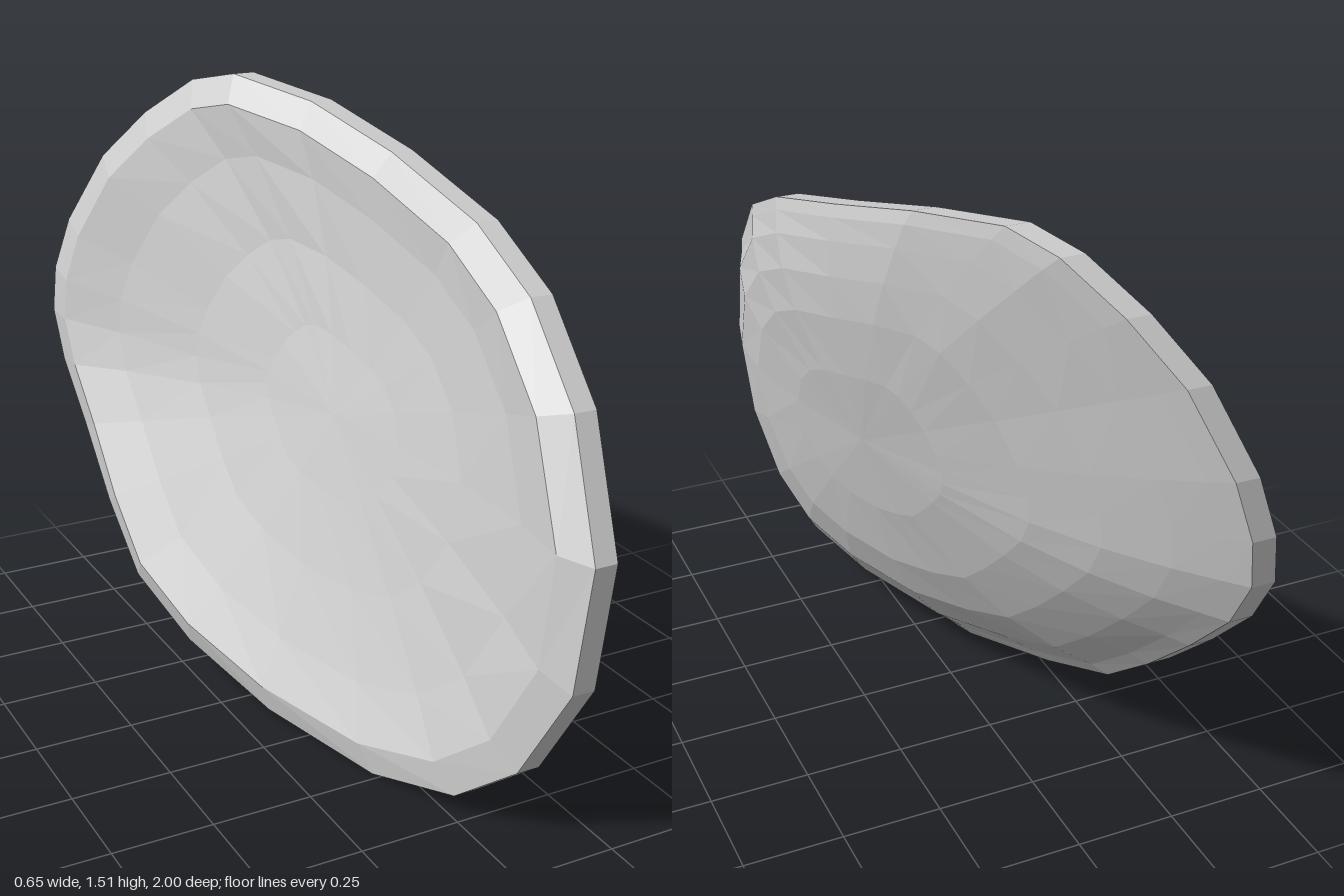
import * as THREE from 'three';

// Rim outline as [z, y, x], running front -> bottom -> back -> top.
const RIM = [
  [1.0, 0.71, 0.18], [1.0, 0.42, 0.14], [0.88, 0.18, 0.09], [0.72, 0.05, 0.03],
  [0.48, 0.0, -0.05], [0.12, 0.02, -0.15], [-0.18, 0.1, -0.235], [-0.42, 0.2, -0.28],
  [-0.6, 0.35, -0.285], [-0.78, 0.52, -0.28], [-0.92, 0.67, -0.285], [-0.99, 0.8, -0.285],
  [-1.0, 0.92, -0.27], [-0.98, 1.06, -0.23], [-0.9, 1.25, -0.15], [-0.8, 1.38, -0.06],
  [-0.68, 1.48, 0.03], [-0.55, 1.51, 0.09], [-0.3, 1.47, 0.19], [0, 1.39, 0.255],
  [0.35, 1.29, 0.28], [0.6, 1.18, 0.265], [0.83, 0.99, 0.23],
];
const CENTRE = { z: 0.03, y: 0.75 };

// Tilted, gently bent sheet that runs through the middle of the rim.
const sheet = (z, y) => 0.047 + 0.225 * z + 0.325 * (y - CENTRE.y) - 0.1 * z * z;

// Both faces swell from the sheet; the outer one is fuller low down and in front.
const OUTER = {
  crease: 0.95, offset: 0.055, power: 4,
  swell: (z, y) => 0.12 * (1 - 0.7 * (y - CENTRE.y) + 0.25 * z),
};
const INNER = { crease: 0.91, offset: -0.058, power: 3, swell: () => 0.065 };

// The outline shrunk to scale s; pointX gives x from the point and its rim point.
const ring = (s, pointX) => RIM.map((p) => {
  const z = CENTRE.z + (p[0] - CENTRE.z) * s;
  const y = CENTRE.y + (p[1] - CENTRE.y) * s;
  return [pointX(z, y, p), y, z];
});

const faceRing = (face, s) => ring(s, (z, y, p) => {
  const t = s / face.crease;
  const edgeFix = (p[2] - sheet(p[0], p[1])) * t * t;
  return sheet(z, y) + edgeFix + face.offset + face.swell(z, y) * (1 - t ** face.power);
});

// A ring at full outline size, on the narrow edge.
const edgeRing = (dx) => ring(1, (z, y, p) => p[2] + dx);

function shellGeometry() {
  const rings = [
    ...[0, 0.3, 0.55, 0.72, 0.86, OUTER.crease].map((s) => faceRing(OUTER, s)),
    edgeRing(0.036),
    edgeRing(-0.022),
    ...[INNER.crease, 0.75, 0.5, 0.25, 0].map((s) => faceRing(INNER, s)),
  ];
  const n = RIM.length;
  const last = rings.length - 2;
  const positions = [];
  for (let k = 0; k <= last; k++) {
    for (let i = 0; i < n; i++) {
      const j = (i + 1) % n;
      const a = rings[k][i], b = rings[k + 1][i];
      const c = rings[k + 1][j], d = rings[k][j];
      if (k < last) positions.push(...a, ...b, ...c);
      if (k > 0) positions.push(...a, ...c, ...d);
    }
  }
  const geometry = new THREE.BufferGeometry();
  geometry.setAttribute('position', new THREE.Float32BufferAttribute(positions, 3));
  geometry.computeVertexNormals(); // unshared corners give flat facets
  return geometry;
}

export function createModel() {
  const group = new THREE.Group();
  group.name = 'curvedShell';
  const grey = new THREE.MeshStandardMaterial({ color: 0xcccccc });
  grey.name = 'light grey';
  const shell = new THREE.Mesh(shellGeometry(), grey);
  shell.name = 'shell';
  group.add(shell);
  return group;
}
